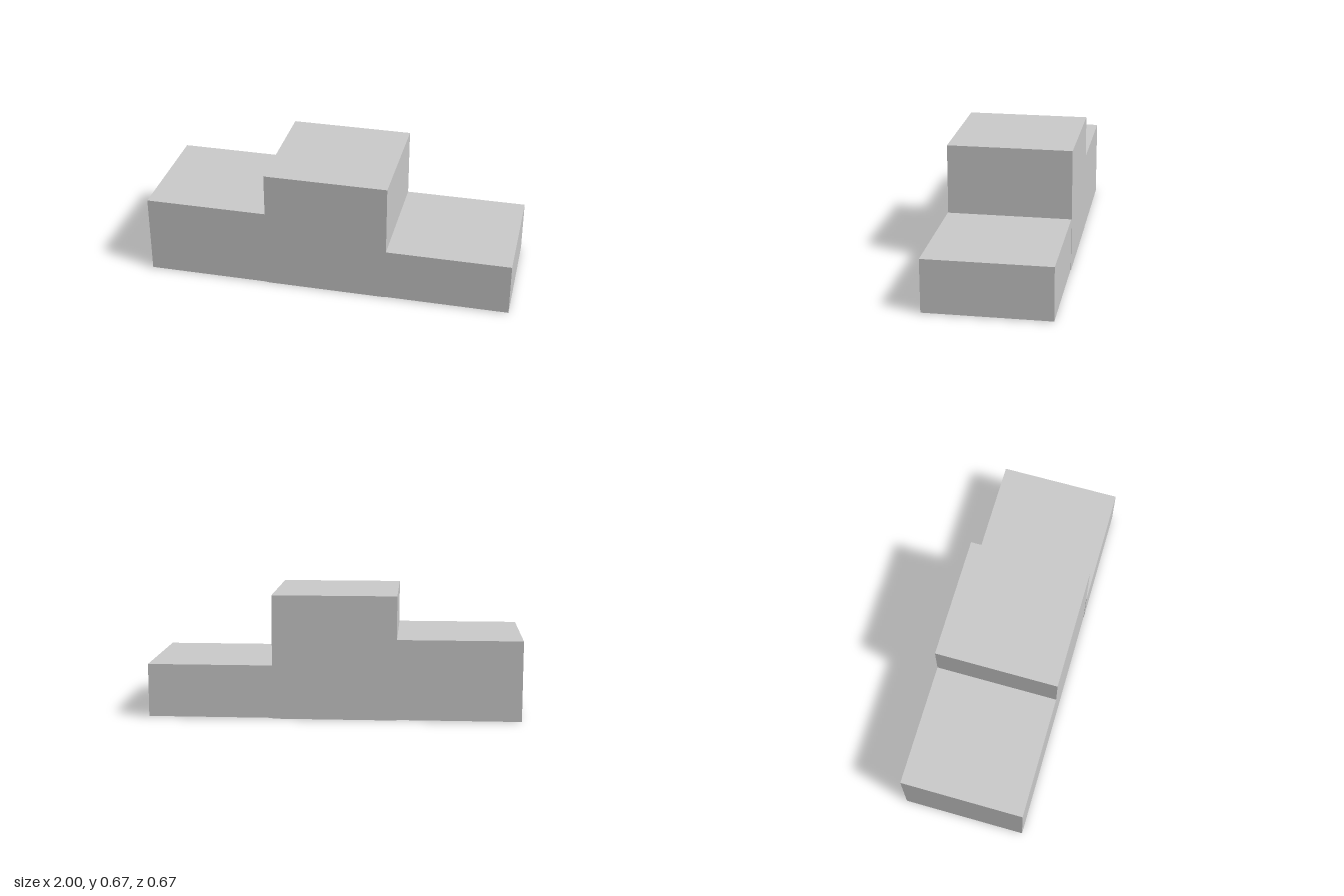
import * as THREE from 'three';

// Three-step podium: one box per step, given by its extents.
export function createModel() {
  const group = new THREE.Group();
  group.name = 'podium';
  const material = new THREE.MeshStandardMaterial({ color: 0xcccccc, flatShading: true });

  const addStep = (name, [x0, x1], [y0, y1], [z0, z1]) => {
    const step = new THREE.Mesh(new THREE.BoxGeometry(x1 - x0, y1 - y0, z1 - z0), material);
    step.name = name;
    step.position.set((x0 + x1) / 2, (y0 + y1) / 2, (z0 + z1) / 2);
    group.add(step);
  };

  // Second place, on the model's right
  addStep('secondPlaceStep', [-1, -0.335], [0.003, 0.436], [-0.335, 0.333]);
  // First place, the tall middle block
  addStep('firstPlaceStep', [-0.335, 0.33], [0, 0.668], [-0.335, 0.333]);
  // Third place, on the model's left
  addStep('thirdPlaceStep', [0.33, 1], [0.004, 0.29], [-0.333, 0.335]);

  return group;
}
